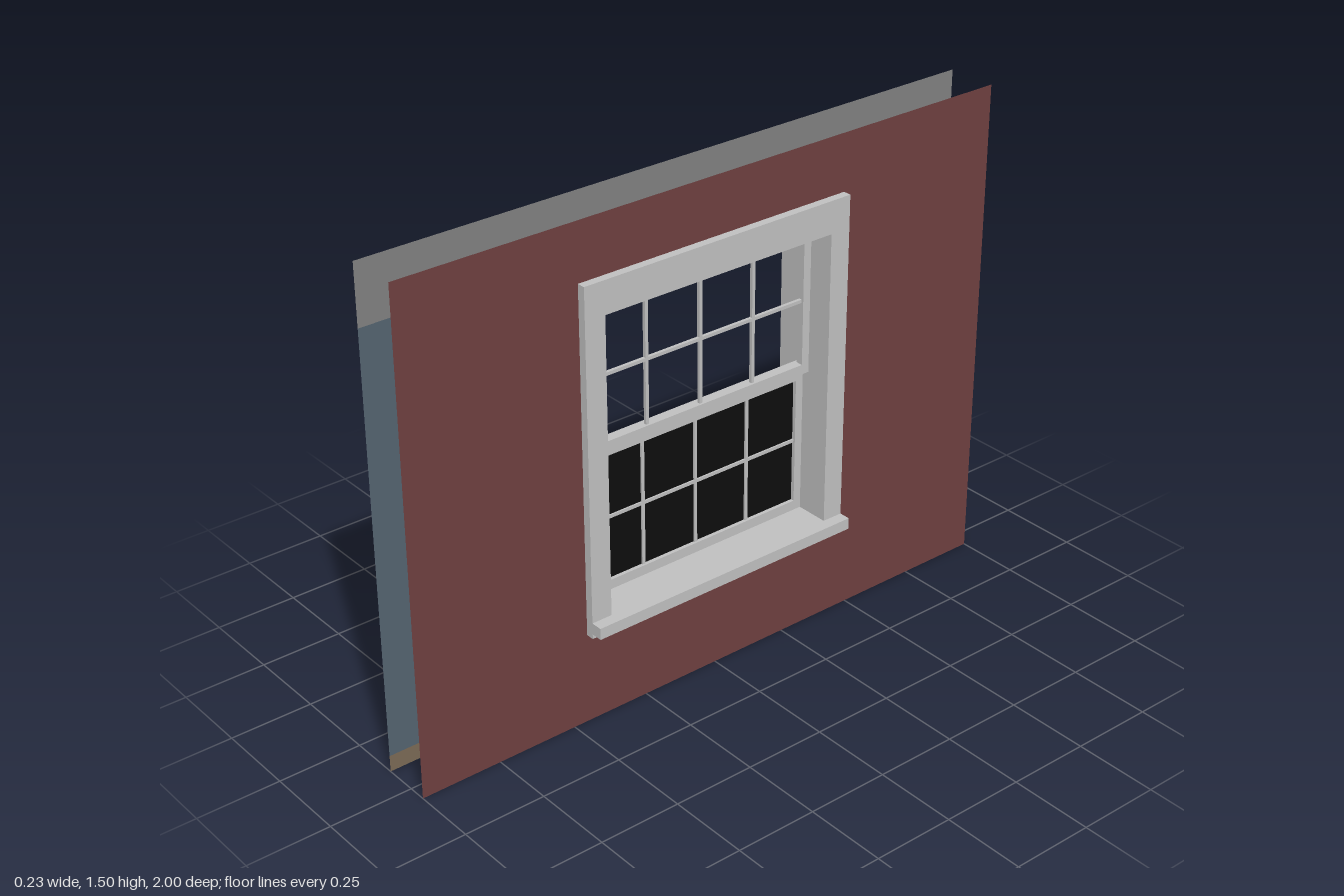
import * as THREE from 'three';

const mat = (name, color, side = THREE.FrontSide) => {
  const m = new THREE.MeshStandardMaterial({ color, side });
  m.name = name;
  return m;
};

export function createModel() {
  const D = THREE.DoubleSide;
  const trimGrey = mat('trimGrey', 0xc0c0c0);
  const liningGrey = mat('liningGrey', 0xc0c0c0, D);
  const brickRed = mat('brickRed', 0x6e4040, D);
  const wallBlue = mat('wallBlue', 0x546370, D);
  const upperGrey = mat('upperWallGrey', 0x808080, D);
  const baseBrown = mat('baseboardBrown', 0x7a6a55, D);
  const paneBlack = mat('paneBlack', 0x0d0d0d, D);

  const model = new THREE.Group();
  model.name = 'windowInWall';
  const add = (name, geometry, material, parent = model) => {
    const mesh = new THREE.Mesh(geometry, material);
    mesh.name = name;
    parent.add(mesh);
    return mesh;
  };

  // Rectangles are [half width along z, bottom, top]
  const corners = ([h, b, t]) => [[-h, b], [h, b], [h, t], [-h, t]];
  const shapeOf = pts => new THREE.Shape(pts.map(p => new THREE.Vector2(...p)));
  const holed = (outer, inner) => {
    const s = shapeOf(corners(outer));
    s.holes.push(shapeOf(corners(inner)));
    return s;
  };
  const sheet = (name, shape, x, material) =>
    add(name, new THREE.ShapeGeometry(shape).rotateY(Math.PI / 2).translate(x, 0, 0), material);
  const frame = (name, outer, inner, x0, x1, parent) =>
    add(name, new THREE.ExtrudeGeometry(holed(outer, inner), { depth: x1 - x0, bevelEnabled: false })
      .rotateY(Math.PI / 2).translate(x0, 0, 0), trimGrey, parent);
  const box = (name, x0, x1, y0, y1, z0, z1, material, parent) =>
    add(name, new THREE.BoxGeometry(x1 - x0, y1 - y0, z1 - z0)
      .translate((x0 + x1) / 2, (y0 + y1) / 2, (z0 + z1) / 2), material, parent);

  // Open four-sided tunnel through the wall
  const tunnel = (name, rect, x0, x1, material) => {
    const c = corners(rect), pos = [];
    c.forEach(([z, y], i) => {
      const [z2, y2] = c[(i + 1) % 4];
      pos.push(x0, y, z, x0, y2, z2, x1, y2, z2, x0, y, z, x1, y2, z2, x1, y, z);
    });
    const g = new THREE.BufferGeometry();
    g.setAttribute('position', new THREE.Float32BufferAttribute(pos, 3));
    g.computeVertexNormals();
    add(name, g, material);
  };

  const opening = [0.45, 0.28, 1.328], inside = [0.385, 0.33, 1.23];
  const outX = 0.055, inX = -0.098, bandY = 1.32, baseY = 0.05;

  // Outer wall sheet and the banded inner wall sheet
  sheet('outerWall', holed([1, 0, 1.5], opening), outX, brickRed);
  sheet('innerWall', shapeOf([[-1, baseY], [1, baseY], [1, bandY], [0.45, bandY],
    [0.45, 0.28], [-0.45, 0.28], [-0.45, bandY], [-1, bandY]]), inX, wallBlue);
  sheet('innerWallTopBand', shapeOf([[-1, bandY], [-0.45, bandY], [-0.45, 1.328], [0.45, 1.328],
    [0.45, bandY], [1, bandY], [1, 1.5], [-1, 1.5]]), inX, upperGrey);
  sheet('baseboard', shapeOf(corners([1, 0, baseY])), inX, baseBrown);

  // Opening sides, window lining and trim
  tunnel('wallOpening', opening, inX, outX, brickRed);
  tunnel('windowLining', inside, inX, outX, liningGrey);
  frame('outerTrim', opening, inside, outX, 0.08);
  frame('innerTrim', opening, inside, -0.12, inX);
  box('sill', 0.08, 0.115, 0.295, 0.33, -0.45, 0.45, trimGrey);

  // Sashes with glazing bars
  const sash = (name, x0, x1, outer, glass) => {
    const g = new THREE.Group();
    g.name = name;
    model.add(g);
    frame('sashFrame', outer, glass, x0, x1, g);
    const [h, b, t] = glass, xm = (x0 + x1) / 2, r = 0.005;
    for (const z of [-0.185, 0, 0.185]) box('uprightBar', xm - r, xm + r, b, t, z - r, z + r, trimGrey, g);
    box('crossBar', xm - r, xm + r, (b + t) / 2 - r, (b + t) / 2 + r, -h, h, trimGrey, g);
    return g;
  };
  sash('upperSash', -0.023, 0, [0.385, 0.78, 1.23], [0.36, 0.81, 1.2]);
  sash('lowerSash', -0.046, -0.023, [0.385, 0.33, 0.8], [0.36, 0.36, 0.75]);
  sheet('lowerPane', shapeOf(corners([0.36, 0.36, 0.75])), -0.0345, paneBlack);

  return model;
}
